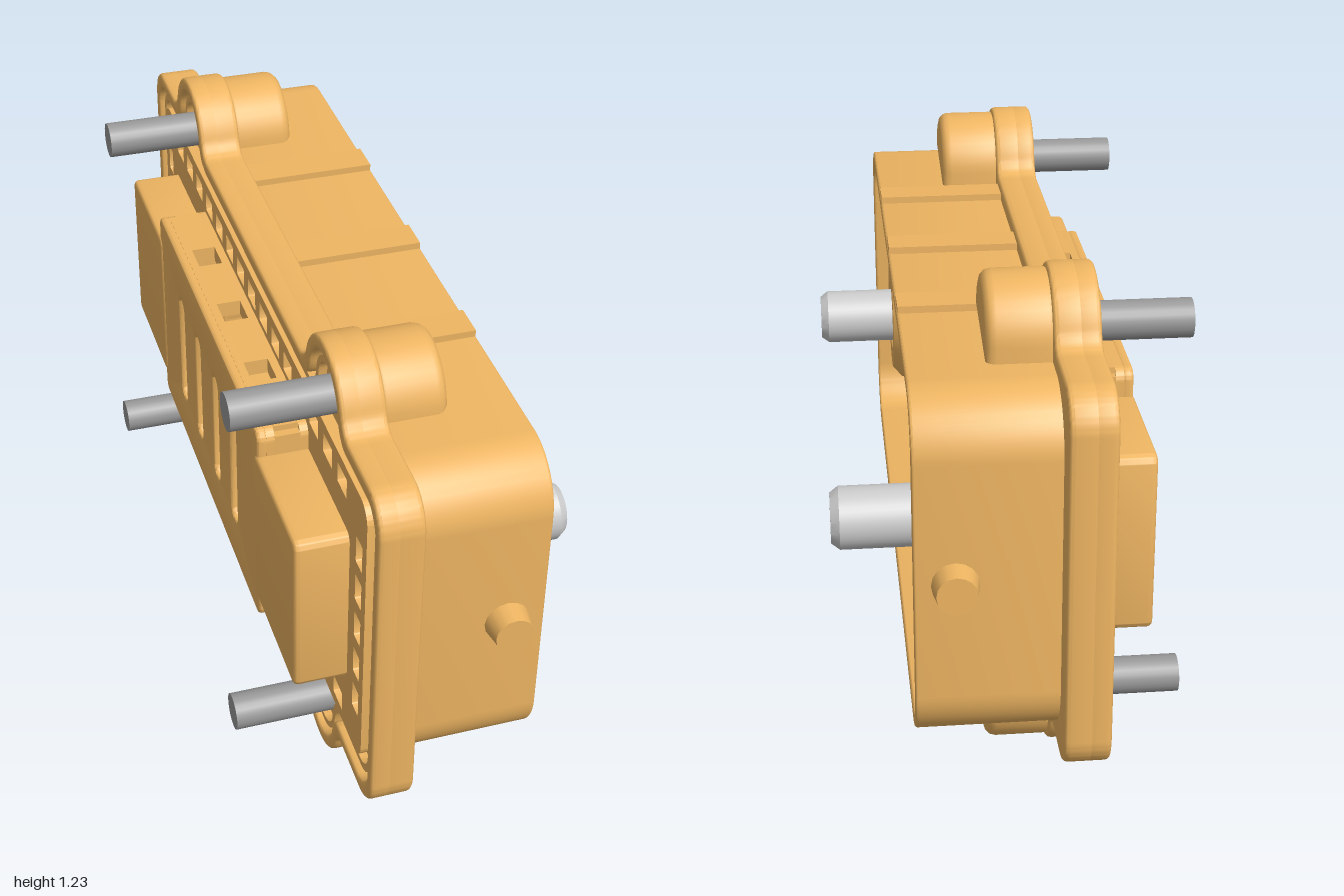
import * as THREE from 'three';
import { toCreasedNormals } from 'three/addons/utils/BufferGeometryUtils.js';

const orange = new THREE.MeshStandardMaterial({ color: 0xeeb562 });
const steel = new THREE.MeshStandardMaterial({ color: 0xcccccc });
const darkSteel = new THREE.MeshStandardMaterial({ color: 0x999999 });
const EAR_X = 0.62, EAR_Y = 0.455;

// Rounded rectangle centred on (cx, cy)
function rounded(hx, hy, r, cx = 0, cy = 0, S = THREE.Shape) {
  const s = new S();
  s.absarc(cx + hx - r, cy + hy - r, r, 0, Math.PI / 2);
  s.absarc(cx - hx + r, cy + hy - r, r, Math.PI / 2, Math.PI);
  s.absarc(cx - hx + r, cy - hy + r, r, Math.PI, Math.PI * 1.5);
  s.absarc(cx + hx - r, cy - hy + r, r, Math.PI * 1.5, Math.PI * 2);
  s.closePath();
  return s;
}

// Flange outline with four screw ears, inset by d
function flangeOutline(d, S = THREE.Shape) {
  const s = new S(), X = 1.03 - d, Y = 0.457 - d, c = 0.09 - d * 0.5, r = 0.142 - d, a = 0.35;
  const corner = [[1, 1], [-1, 1], [-1, -1], [1, -1]];
  corner.forEach(([sx, sy], i) => {
    s.absarc(sx * (X - c), sy * (Y - c), c, i * Math.PI / 2, (i + 1) * Math.PI / 2);
    if (i % 2) return;
    const dir = sy; // top edge runs toward -x, bottom edge toward +x
    for (const ex of [dir * EAR_X, -dir * EAR_X]) {
      const p = (k) => [ex + k * dir * r * Math.cos(a), sy * (EAR_Y + r * Math.sin(a))];
      s.lineTo(ex + dir * (r + 0.05), sy * Y);
      s.quadraticCurveTo(ex + dir * (r + 0.005), sy * Y, ...p(1));
      const t = sy > 0 ? 0 : Math.PI;
      s.absarc(ex, sy * EAR_Y, r, t + a, t + Math.PI - a);
      s.quadraticCurveTo(ex - dir * (r + 0.005), sy * Y, ex - dir * (r + 0.05), sy * Y);
    }
  });
  s.closePath();
  return s;
}

export function createModel() {
  const body = new THREE.Group();
  body.name = 'connector';

  const add = (name, geo, mat = orange, x = 0, y = 0, z = 0) => {
    const m = new THREE.Mesh(geo, mat);
    m.name = name;
    m.position.set(x, y, z);
    body.add(m);
    return m;
  };
  // Extruded slab between two depths with an optional rounded edge
  const slab = (name, shape, z0, z1, b = 0, holes = []) => {
    shape.holes.push(...holes);
    const geo = new THREE.ExtrudeGeometry(shape, {
      depth: z1 - z0 - 2 * b, curveSegments: 10, bevelEnabled: b > 0,
      bevelThickness: b, bevelSize: b, bevelOffset: -b, bevelSegments: 3,
    });
    return add(name, toCreasedNormals(geo, 0.6), orange, 0, 0, z0 + b);
  };
  const box = (name, x0, x1, y0, y1, z0, z1) =>
    add(name, new THREE.BoxGeometry(x1 - x0, y1 - y0, z1 - z0), orange, (x0 + x1) / 2, (y0 + y1) / 2, (z0 + z1) / 2);
  // Turned part along z
  const turned = (name, pts, mat, x, y, z, toBack = false) => {
    const geo = new THREE.LatheGeometry(pts.map((p) => new THREE.Vector2(...p)), 40);
    geo.rotateX(toBack ? -Math.PI / 2 : Math.PI / 2);
    return add(name, toCreasedNormals(geo, 0.5), mat, x, y, z);
  };
  const hole = (hx, hy, r, cx, cy) => rounded(hx, hy, r, cx, cy, THREE.Path);
  const cavity = () => hole(0.43, 0.245, 0.06);

  // Flange with raised rim and seal lip
  slab('flange', flangeOutline(0), -0.07, 0.002, 0.012, [cavity()]);
  slab('flangeRim', flangeOutline(0), -0.02, 0.035, 0.01, [flangeOutline(0.035, THREE.Path)]);
  slab('sealLip', flangeOutline(0.05), 0, 0.022, 0, [flangeOutline(0.066, THREE.Path)]);

  // Front plate with rows of small pockets
  const pockets = [cavity()];
  for (const s of [-1, 1]) {
    for (let i = -7; i <= 7; i++) pockets.push(hole(0.034, 0.026, 0.004, i * 0.108, s * 0.325));
    for (let i = -2; i <= 2; i++) pockets.push(hole(0.022, 0.036, 0.004, s * 0.885, i * 0.11));
  }
  slab('frontPlate', rounded(0.935, 0.38, 0.05), 0, 0.03, 0, pockets);

  // Open shell behind the flange
  slab('housing', rounded(0.953, 0.42, 0.14), -0.39, -0.05, 0.006, [hole(0.92, 0.39, 0.11)]);
  slab('housingFoot', rounded(0.94, 0.41, 0.13), -0.1, -0.06, 0.01, [hole(0.85, 0.355, 0.09)]);

  // Vented centre cover: walls with windows, slotted face
  slab('coverBase', rounded(0.5, 0.285, 0.03), 0, 0.05, 0, [cavity()]);
  const edges = [[-0.48, -0.3], [-0.22, -0.04], [0.04, 0.22], [0.3, 0.48]];
  for (const s of [-1, 1]) {
    for (const [a, b] of edges) box('coverPillar', a, b, s * 0.265 - 0.02, s * 0.265 + 0.02, 0.05, 0.11);
    box('coverEnd', s * 0.465 - 0.035, s * 0.465 + 0.035, -0.27, 0.27, 0.05, 0.11);
  }
  slab('coverTopRing', rounded(0.5, 0.285, 0.03), 0.11, 0.13, 0, [cavity()]);
  slab('coverFace', rounded(0.5, 0.285, 0.03), 0.125, 0.152, 0.008,
    [-0.265, -0.09, 0.09, 0.265].map((x) => hole(0.027, 0.157, 0.025, x, 0)));

  for (const s of [-1, 1]) {
    const x = s * EAR_X;
    // Terminal block, collar, washer and stud
    slab('terminalBlock', rounded(0.175, 0.218, 0.025, s * 0.645, 0), 0, 0.156, 0.012);
    turned('collar', [[0.125, -0.185], [0.125, -0.14], [0, -0.14]].map(([r, h]) => [r, h]), orange, x, 0, 0);
    turned('washer', [[0, -0.222], [0.132, -0.222], [0.14, -0.214], [0.14, -0.18], [0, -0.18]], steel, x, 0, 0);
    turned('stud', [[0, -0.56], [0.058, -0.56], [0.073, -0.54], [0.073, -0.2]], steel, x, 0, 0);

    // Rear socket sleeve with ribbed bore
    const sleeve = [[0.195, 0], [0.195, 0.24], [0.188, 0.25], [0.188, 0.29], [0.178, 0.325], [0.15, 0.35], [0.095, 0.35], [0.085, 0.34]];
    for (let h = 0.325; h > 0.09; h -= 0.03) sleeve.push([0.085, h], [0.075, h - 0.015]);
    sleeve.push([0, 0.085]);
    turned('socketSleeve', sleeve, orange, x, 0, -0.01, true);
    for (const v of [-1, 1]) {
      const clip = box('sleeveClip', -0.06, 0.06, -0.025, 0.025, -0.2, -0.06);
      clip.position.set(x + 0.14, v * 0.16, -0.13);
      clip.rotation.z = v * 0.35;

      // Screw pin and its boss on each ear
      const pin = new THREE.CylinderGeometry(0.045, 0.045, 0.325, 24).rotateX(Math.PI / 2);
      add('screwPin', pin, darkSteel, x, v * 0.46, 0.0925);
      const boss = new THREE.Shape();
      const t = v > 0 ? 0 : Math.PI;
      boss.moveTo(x + v * 0.13, v * 0.395);
      boss.absarc(x, v * EAR_Y, 0.13, t, t + Math.PI);
      boss.lineTo(x - v * 0.13, v * 0.395);
      boss.closePath();
      slab('screwBoss', boss, -0.215, -0.05, 0.025);
    }

    // Snap nub on each end wall
    const nub = new THREE.CylinderGeometry(0.045, 0.054, 0.06, 16).rotateZ(-s * Math.PI / 2);
    add('endNub', nub, orange, s * 0.975, 0, -0.3);

    // Ribs across the long walls
    for (const rx of [-0.39, 0.01, 0.405]) {
      box('wallRib', rx - 0.044, rx + 0.044, s * 0.42 - 0.017, s * 0.42 + 0.017, -0.388, -0.06);
    }
    // Guide blocks inside one end wall
    box('guideBlock', -0.925, -0.86, s * 0.105 - 0.025, s * 0.105 + 0.025, -0.16, -0.06);
  }

  // Turn the whole part to its resting angle
  body.rotation.set(0, -1.161, -0.03);
  body.position.set(0.021, 0.617, 0.05);
  const model = new THREE.Group();
  model.name = 'panelConnector';
  model.add(body);
  return model;
}
